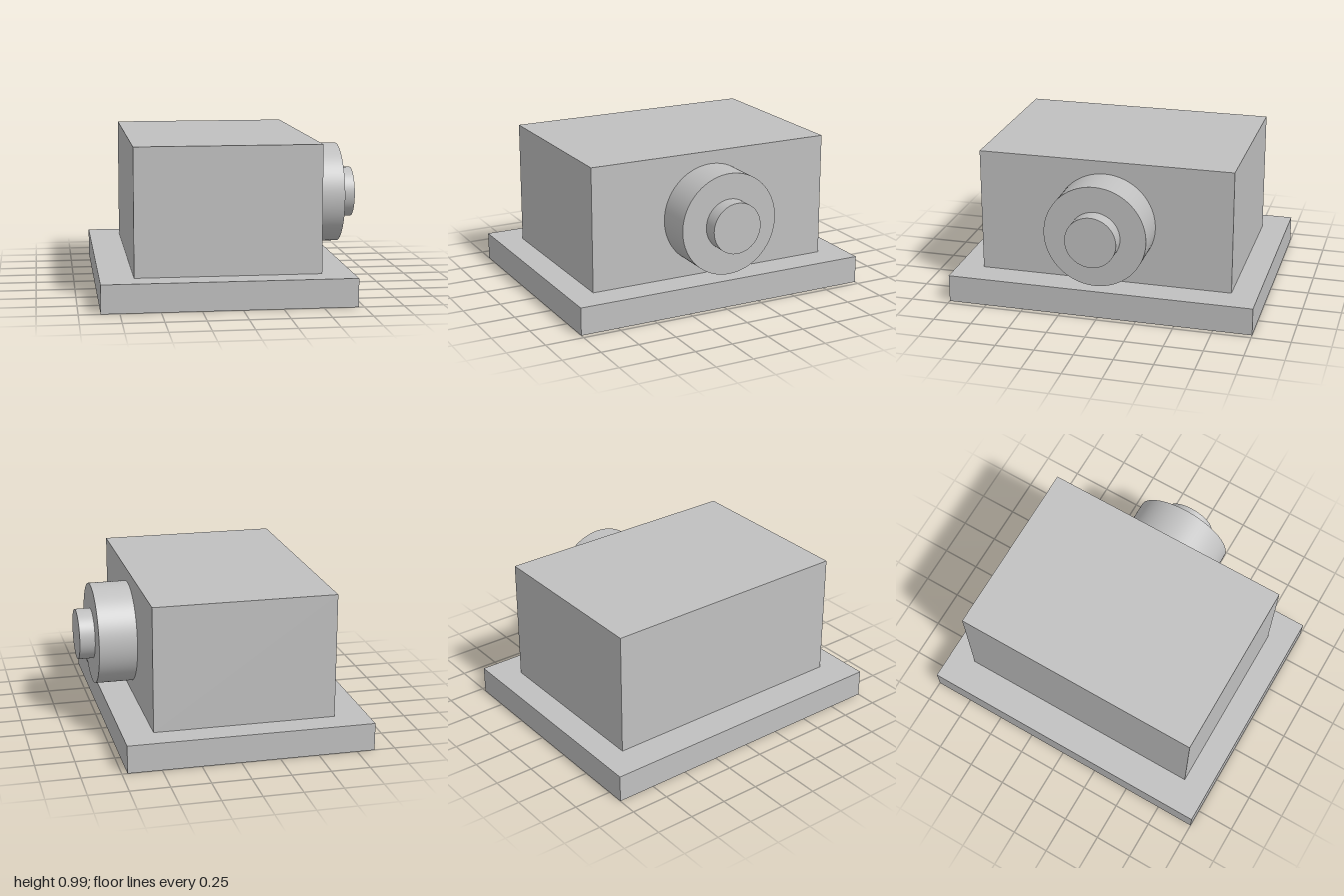
import * as THREE from 'three';

export function createModel() {
  const group = new THREE.Group();
  const grey = new THREE.MeshStandardMaterial({ color: 0xc0c0c0 });
  grey.name = 'grey';

  const add = (name, geometry, x, y) => {
    const mesh = new THREE.Mesh(geometry, grey);
    mesh.name = name;
    mesh.position.set(x, y, 0);
    group.add(mesh);
  };

  // Box spanning x0..x1 and y0..y1, centred on z
  const box = (name, x0, x1, y0, y1, depth) =>
    add(name, new THREE.BoxGeometry(x1 - x0, y1 - y0, depth), (x0 + x1) / 2, (y0 + y1) / 2);

  // Cylinder lying along x from x0 to x1
  const disc = (name, x0, x1, radius, y) =>
    add(name, new THREE.CylinderGeometry(radius, radius, x1 - x0, 96).rotateZ(-Math.PI / 2), (x0 + x1) / 2, y);

  // Plinth and housing
  box('basePlate', -0.865, 0.715, 0, 0.18, 2);
  box('housing', -0.652, 0.518, 0.18, 0.988, 1.656);

  // Stepped round boss on the left side
  disc('boss', 0.518, 0.765, 0.33, 0.575);
  disc('shaftEnd', 0.765, 0.865, 0.165, 0.575);

  return group;
}
